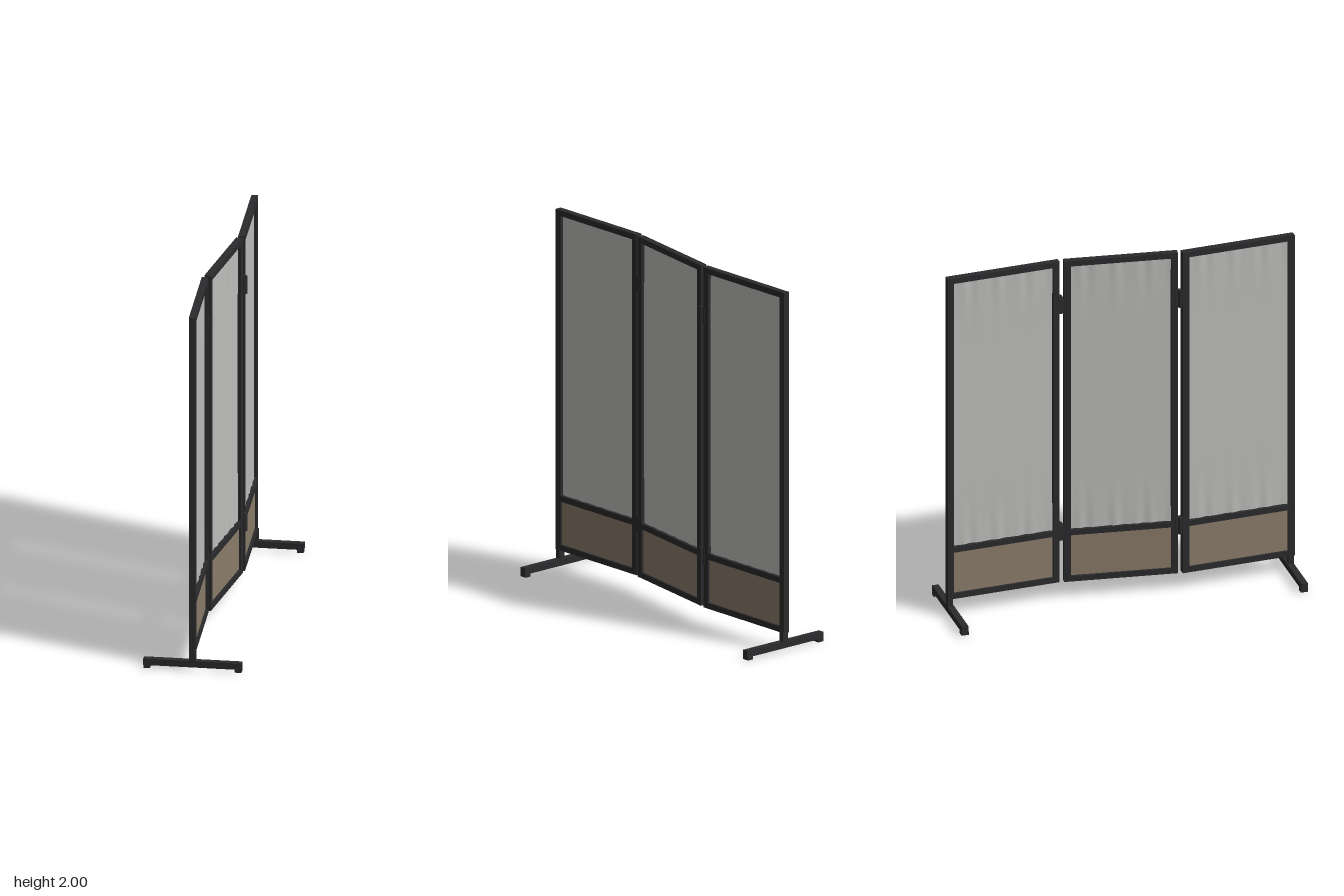
import * as THREE from 'three';

const material = (name, color, side = THREE.FrontSide) =>
  Object.assign(new THREE.MeshStandardMaterial({ color, side }), { name });

export function createModel() {
  const frameMat = material('dark metal', 0x2b2b2d);
  const clothMat = material('grey cloth', 0xbebebc, THREE.DoubleSide);
  const boardMat = material('tan board', 0x8b7c6a);
  const model = new THREE.Group();
  model.name = 'foldingScreen';

  const add = (parent, name, geometry, mat, x, y, z) => {
    const mesh = new THREE.Mesh(geometry, mat);
    mesh.name = name;
    mesh.position.set(x, y, z);
    parent.add(mesh);
    return mesh;
  };
  const box = (parent, name, w, h, d, mat, x, y, z) =>
    add(parent, name, new THREE.BoxGeometry(w, h, d), mat, x, y, z);

  const BAR = 0.036, BOTTOM = 0.1, TOP = 2, RAIL = 0.39;

  // Cloth sheet in the y-z plane, with gathers that fade out away from the rails
  function clothGeometry(width, height) {
    const g = new THREE.PlaneGeometry(width, height, 48, 16).rotateY(Math.PI / 2);
    const p = g.attributes.position;
    for (let i = 0; i < p.count; i++) {
      const edge = Math.abs(p.getY(i)) / (height / 2);
      const z = p.getZ(i);
      p.setX(i, 0.0025 * edge ** 6 * (Math.sin(z * 62) + 0.5 * Math.sin(z * 101 + 1)));
    }
    g.computeVertexNormals();
    return g;
  }

  // One framed panel running between two floor points
  function panel(name, x0, z0, x1, z1) {
    const length = Math.hypot(x1 - x0, z1 - z0);
    const inner = length - 2 * BAR;
    const g = new THREE.Group();
    g.name = name;
    g.position.set((x0 + x1) / 2, 0, (z0 + z1) / 2);
    g.rotation.y = Math.atan2(x0 - x1, z0 - z1);
    for (const s of [-1, 1]) {
      box(g, 'sidePost', BAR, TOP - BOTTOM, BAR, frameMat, 0, (TOP + BOTTOM) / 2, s * (length - BAR) / 2);
    }
    const rails = [['topRail', TOP - 0.016], ['middleRail', RAIL], ['bottomRail', BOTTOM + 0.016]];
    for (const [railName, y] of rails) box(g, railName, BAR, 0.032, inner, frameMat, 0, y, 0);
    const clothLow = RAIL + 0.012, clothHigh = TOP - 0.028;
    add(g, 'clothSheet', clothGeometry(inner + 0.01, clothHigh - clothLow), clothMat,
      0, (clothLow + clothHigh) / 2, 0);
    box(g, 'lowerBoard', 0.012, RAIL - BOTTOM - 0.04, inner + 0.01, boardMat, 0, (RAIL + BOTTOM + 0.016) / 2, 0);
    model.add(g);
  }
  panel('frontPanel', 0, 0.962, -0.043, 0.33);
  panel('middlePanel', -0.034, 0.308, 0.03, -0.304);
  panel('backPanel', 0.036, -0.33, -0.006, -0.962);

  // Hinges on the outer side of each fold
  for (const s of [1, -1]) {
    for (const y of [0.385, 1.73]) {
      const h = new THREE.Group();
      h.name = 'hinge';
      h.position.set(-0.04 * s, y, 0.318 * s);
      box(h, 'hingeLeaf', 0.034, 0.085, 0.05, frameMat, 0, 0, 0);
      add(h, 'hingePin', new THREE.CylinderGeometry(0.013, 0.013, 0.1, 10), frameMat, -0.017 * s, 0, 0);
      model.add(h);
    }
  }

  // End legs with crosswise feet
  for (const s of [1, -1]) {
    const stand = new THREE.Group();
    stand.name = s > 0 ? 'frontStand' : 'backStand';
    stand.position.set(0, 0, 0.94 * s);
    stand.rotation.y = 0.025;
    box(stand, 'leg', 0.034, 0.08, 0.03, frameMat, 0, 0.075, 0.004 * s);
    box(stand, 'foot', 0.53, 0.036, 0.036, frameMat, 0, 0.034, 0);
    for (const e of [-1, 1]) box(stand, 'footPad', 0.035, 0.02, 0.04, frameMat, e * 0.246, 0.01, 0);
    model.add(stand);
  }
  return model;
}
